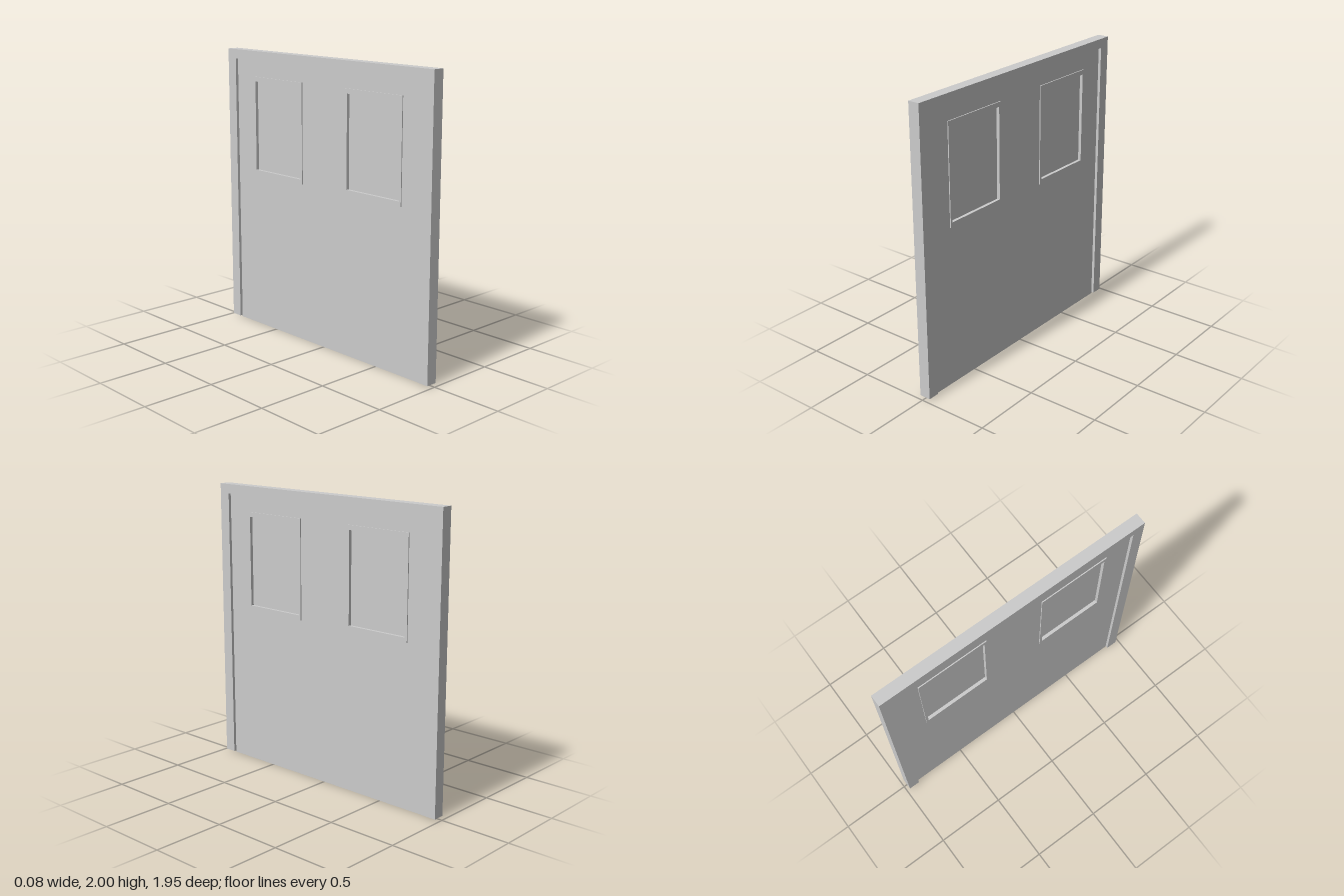
import * as THREE from 'three';

const material = new THREE.MeshStandardMaterial({ color: 0xcccccc, flatShading: true });

// Closed outline through [z, y] corners
const outline = (points, Type = THREE.Shape) =>
  new Type(points.map(([z, y]) => new THREE.Vector2(z, y)));

const rect = (z0, z1, y0, y1) => [[z0, y0], [z1, y0], [z1, y1], [z0, y1]];

// Flat panel lying in the z-y plane, centred on x = 0
function panel(name, points, thickness, holes = []) {
  const shape = outline(points);
  shape.holes = holes.map((h) => outline(h, THREE.Path));
  const geometry = new THREE.ExtrudeGeometry(shape, { depth: thickness, bevelEnabled: false });
  geometry.translate(0, 0, -thickness / 2);
  geometry.rotateY(-Math.PI / 2);
  const mesh = new THREE.Mesh(geometry, material);
  mesh.name = name;
  return mesh;
}

export function createModel() {
  const model = new THREE.Group();
  model.name = 'doubleDoor';

  const half = 0.974, opening = 0.893, head = 1.934, foot = 0.01;

  // Door frame: two jambs and a head
  model.add(panel('doorFrame', [
    [-half, foot], [-opening, foot], [-opening, head], [opening, head],
    [opening, foot], [half, foot], [half, 2], [-half, 2],
  ], 0.08));

  // Window rectangles, mirrored about the middle
  const windows = [1, -1].map((side) => {
    const box = (a, b, y0, y1) => rect(Math.min(side * a, side * b), Math.max(side * a, side * b), y0, y1);
    return { outer: box(0.209, 0.71, 1.121, 1.819), inner: box(0.226, 0.693, 1.154, 1.786), side };
  });

  // Door leaf with window cut-outs
  model.add(panel('doorLeaf', rect(-opening, opening, 0, head), 0.04, windows.map((w) => w.outer)));

  // Raised window surrounds and recessed panes
  for (const w of windows) {
    const group = new THREE.Group();
    group.name = w.side > 0 ? 'frontWindow' : 'backWindow';
    group.add(panel('windowSurround', w.outer, 0.054, [w.inner]));
    group.add(panel('windowPane', w.inner, 0.01));
    model.add(group);
  }
  return model;
}
